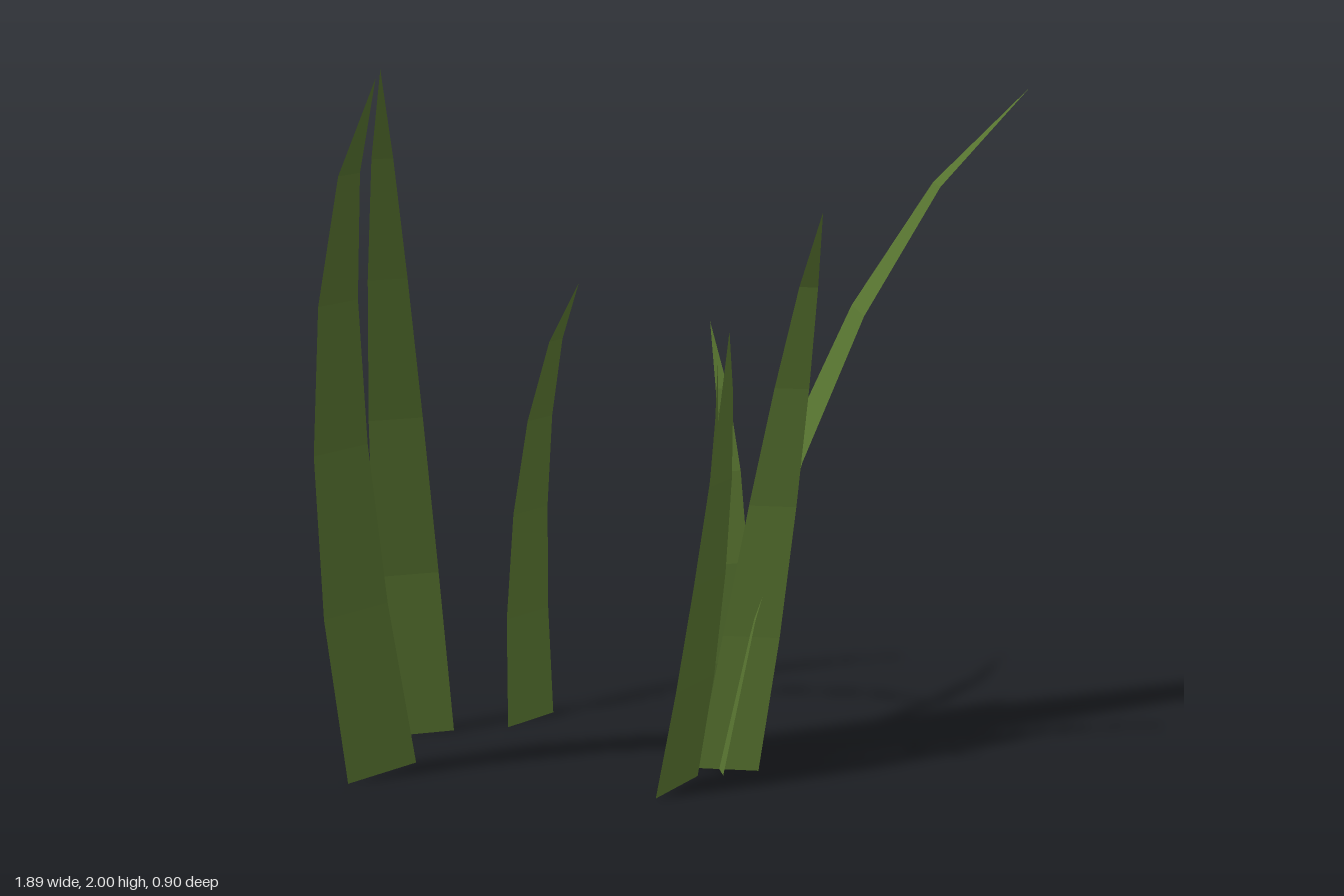
import * as THREE from 'three';

// Share of the full height reached at each cross-section
const RISE = [0, 0.24, 0.475, 0.685, 0.865, 1];

// base and lean are [x, z]; span is the base edge vector; bend is the curved share of the lean
const BLADES = [
  { base: [-0.78, -0.095], span: [0.2, -0.09], height: 2.0, lean: [-0.05, 0.545], bend: [0.31, 0.55] },
  { base: [-0.637, -0.33], span: [0.195, 0.005], height: 1.95, lean: [-0.123, 0.42], bend: [-0.02, 0.6] },
  { base: [-0.317, -0.345], span: [0.145, -0.07], height: 1.25, lean: [0.157, -0.03], bend: [0.156, 0.29] },
  { base: [-0.037, 0.195], span: [0.145, -0.11], height: 1.26, lean: [0.13, 0.027], bend: [-0.1, -0.14] },
  { base: [0.125, 0.12], span: [0.155, 0.06], height: 1.6, lean: [0.155, 0.28], bend: [-0.17, 0.25] },
  { base: [0.105, 0.05], span: [0.005, -0.21], height: 1.82, lean: [0.833, 0.04], bend: [0.5, 0] },
  { base: [0.14, 0.04], span: [0.12, 0], height: 1.13, lean: [0.055, -0.365], bend: [-0.05, -0.36] },
  { base: [0.0, 0.02], span: [0.075, -0.16], height: 1.11, lean: [0.13, -0.035], bend: [-0.11, -0.085] },
];

// Flat ribbon that narrows to a point and follows a parabolic arc
function bladeGeometry({ base, span, height, lean, bend }) {
  const positions = [];
  const indices = [];
  const last = RISE.length - 1;
  RISE.forEach((rise, i) => {
    const t = i / last;
    const half = (1 - t ** 1.5) / 2;
    const [x, z] = [0, 1].map((k) => base[k] + (lean[k] - bend[k]) * t + bend[k] * t * t);
    for (const side of i < last ? [-half, half] : [0]) {
      positions.push(x + span[0] * side, height * rise, z + span[1] * side);
    }
    const a = i * 2;
    if (i < last) indices.push(a, a + 1, a + 2);
    if (i < last - 1) indices.push(a + 1, a + 3, a + 2);
  });
  const geometry = new THREE.BufferGeometry();
  geometry.setAttribute('position', new THREE.Float32BufferAttribute(positions, 3));
  geometry.setIndex(indices);
  const faceted = geometry.toNonIndexed();
  faceted.computeVertexNormals();
  return faceted;
}

export function createModel() {
  const group = new THREE.Group();
  group.name = 'grassTuft';
  const green = new THREE.MeshStandardMaterial({ color: 0x56722f, side: THREE.DoubleSide, flatShading: true });
  green.name = 'grassGreen';
  BLADES.forEach((blade, i) => {
    const mesh = new THREE.Mesh(bladeGeometry(blade), green);
    mesh.name = `grassBlade${i + 1}`;
    group.add(mesh);
  });
  return group;
}
